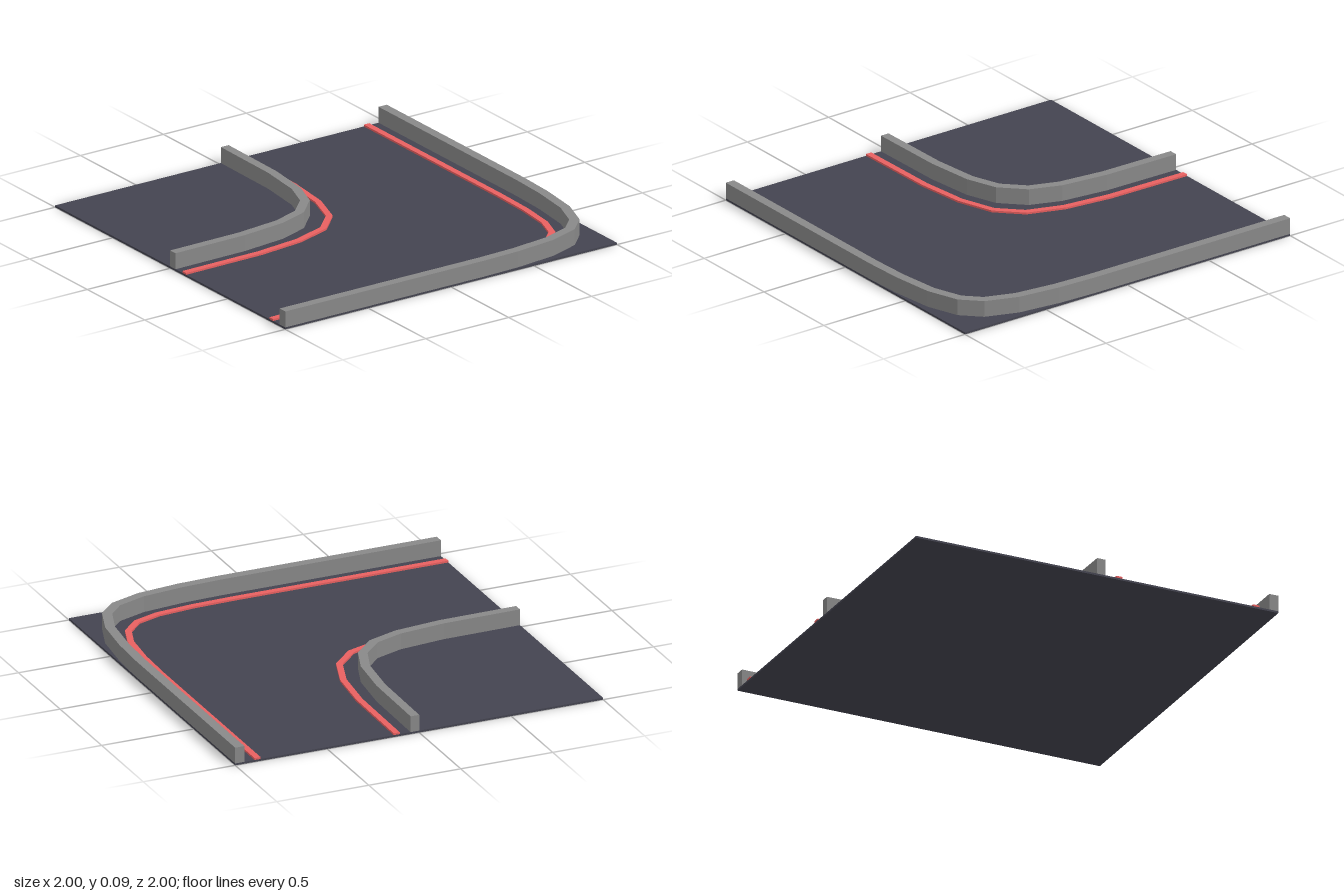
import * as THREE from 'three';

const FLOOR = 0.01;

// Mirrors half a path across the x = z diagonal to complete the bend
function bend(half) {
  const pts = half.map(([x, z]) => new THREE.Vector2(x, z));
  return pts.concat([...pts].reverse().map((p) => new THREE.Vector2(p.y, p.x)));
}

// Extrudes a band of constant width along a path in the x-z plane, with mitred joints
function band(name, half, width, height, color) {
  const path = bend(half);
  const last = path.length - 1;
  const normal = (i) => {
    const d = path[i + 1].clone().sub(path[i]).normalize();
    return new THREE.Vector2(-d.y, d.x);
  };
  const sideA = [], sideB = [];
  path.forEach((p, i) => {
    let offset;
    if (i === 0) offset = new THREE.Vector2(-1, 0); // square cut at the tile edge
    else if (i === last) offset = new THREE.Vector2(0, -1);
    else {
      const a = normal(i - 1);
      offset = a.clone().add(normal(i)).normalize();
      offset.divideScalar(offset.dot(a));
    }
    offset.multiplyScalar(width / 2);
    sideA.push(new THREE.Vector2(p.x + offset.x, -(p.y + offset.y)));
    sideB.unshift(new THREE.Vector2(p.x - offset.x, -(p.y - offset.y)));
  });
  const geometry = new THREE.ExtrudeGeometry(new THREE.Shape([...sideA, ...sideB]), {
    depth: height, bevelEnabled: false,
  });
  geometry.rotateX(-Math.PI / 2);
  geometry.translate(0, FLOOR, 0);
  const mesh = new THREE.Mesh(geometry, new THREE.MeshStandardMaterial({ color, flatShading: true }));
  mesh.name = name;
  return mesh;
}

export function createModel() {
  const group = new THREE.Group();
  group.name = 'roadCorner';

  // Square road slab
  const road = new THREE.Mesh(
    new THREE.BoxGeometry(2, FLOOR, 2),
    new THREE.MeshStandardMaterial({ color: 0x444450 }),
  );
  road.name = 'road';
  road.position.y = FLOOR / 2;
  group.add(road);

  // Low barriers on both sides of the bend
  const grey = 0x888888;
  group.add(band('innerBarrier',
    [[0.023, -1], [0.018, -0.58], [-0.01, -0.332], [-0.066, -0.175]], 0.047, 0.085, grey));
  group.add(band('outerBarrier',
    [[0.975, -1], [0.975, 0.2], [0.967, 0.41], [0.941, 0.635], [0.884, 0.797]], 0.05, 0.085, grey));

  // Raised red edge lines
  const red = 0xe86060;
  group.add(band('innerLine',
    [[0.122, -1], [0.117, -0.54], [0.088, -0.283], [0.024, -0.093]], 0.033, 0.01, red));
  group.add(band('outerLine',
    [[0.878, -1], [0.878, 0.15], [0.872, 0.385], [0.851, 0.585], [0.805, 0.717]], 0.033, 0.01, red));

  return group;
}
